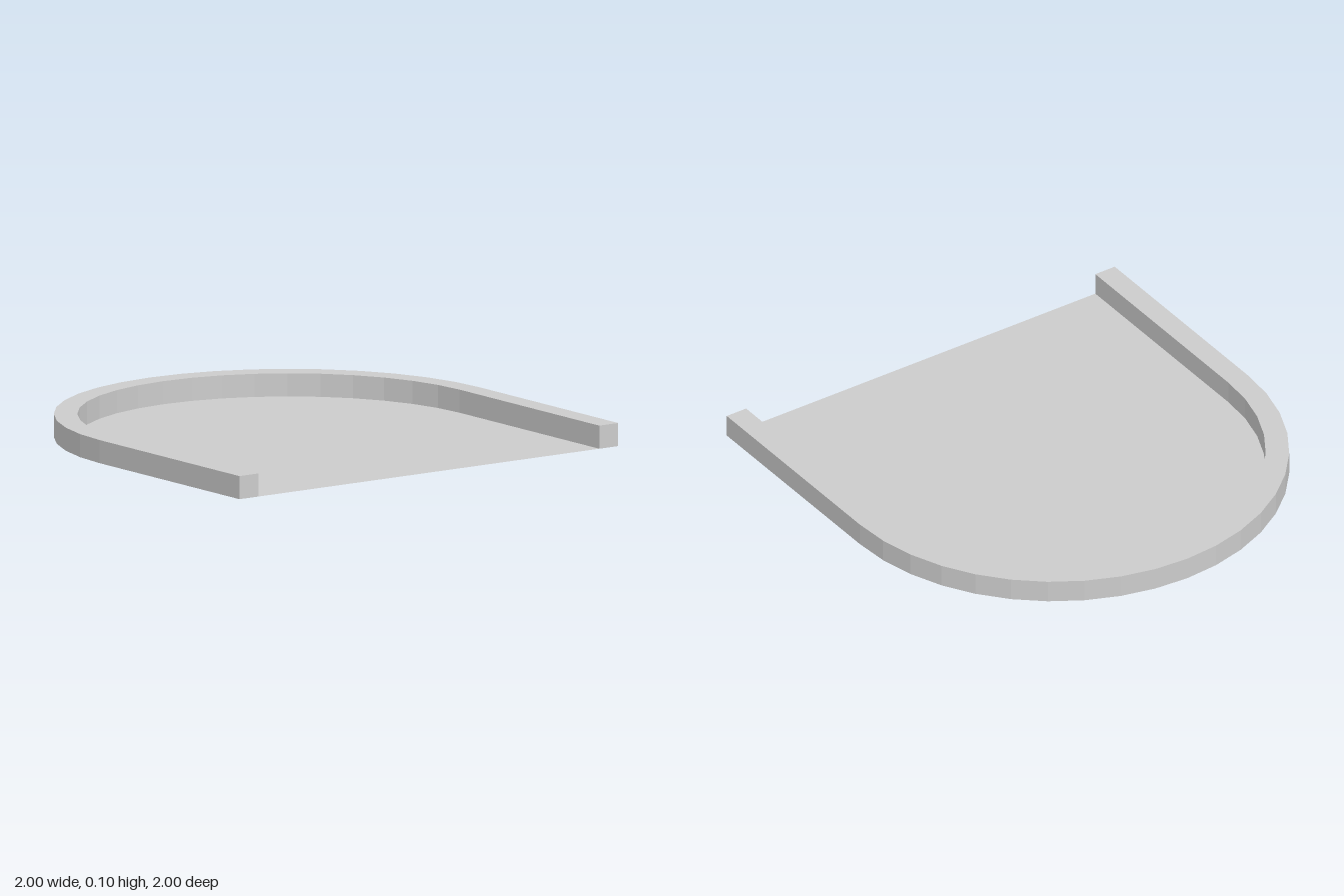
import * as THREE from 'three';

const OUTER = 1, INNER = 0.9, HEIGHT = 0.1, SEGMENTS = 20;

// Arch outline from the right leg over the round back to the left leg
function arch(radius) {
  const points = [new THREE.Vector2(radius, -1)];
  for (let i = 0; i <= SEGMENTS; i++) {
    const a = (i / SEGMENTS) * Math.PI;
    points.push(new THREE.Vector2(radius * Math.cos(a), radius * Math.sin(a)));
  }
  points.push(new THREE.Vector2(-radius, -1));
  return points;
}

export function createModel() {
  const group = new THREE.Group();
  group.name = 'archedTray';

  const rimGrey = new THREE.MeshStandardMaterial({ color: 0xcccccc, side: THREE.DoubleSide });
  rimGrey.name = 'light grey';

  // Raised rim, open at the front
  const rimShape = new THREE.Shape([...arch(OUTER), ...arch(INNER).reverse()]);
  const rimGeometry = new THREE.ExtrudeGeometry(rimShape, { depth: HEIGHT, bevelEnabled: false });
  rimGeometry.rotateX(-Math.PI / 2);
  const rim = new THREE.Mesh(rimGeometry, rimGrey);
  rim.name = 'rim';

  // Paper-thin floor inside the rim
  const floorGeometry = new THREE.ShapeGeometry(new THREE.Shape(arch(INNER)));
  floorGeometry.rotateX(-Math.PI / 2);
  const floor = new THREE.Mesh(floorGeometry, rimGrey);
  floor.name = 'floor';

  group.add(rim, floor);
  return group;
}
